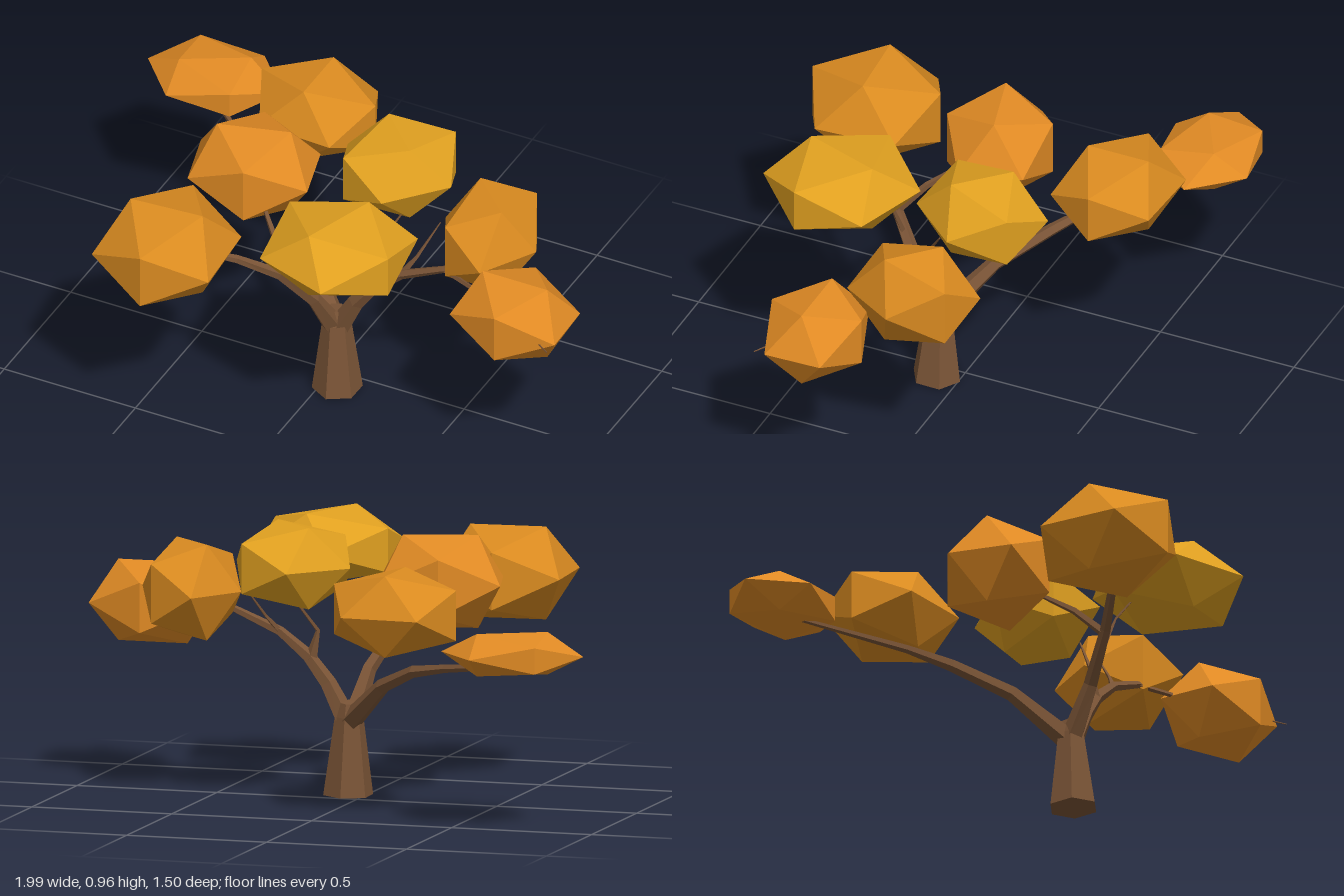
import * as THREE from 'three';

const bark = new THREE.MeshStandardMaterial({ color: 0x7a5436, flatShading: true });
const leafMaterial = (color) => new THREE.MeshStandardMaterial({ color, flatShading: true });

// Tapering limb: a ring of corners at each path point, joined by quads. Points are [x, y, z, radius].
function limb(name, points, sides = 5) {
  const path = points.map(([x, y, z]) => new THREE.Vector3(x, y, z));
  const up = new THREE.Vector3(0, 1, 0);
  const pos = [];
  const index = [];
  const last = path.length - 1;
  path.forEach((p, i) => {
    const dir = path[Math.min(i + 1, last)].clone().sub(path[Math.max(i - 1, 0)]).normalize();
    const turn = new THREE.Quaternion().setFromUnitVectors(up, dir);
    for (let s = 0; s < sides; s++) {
      const a = (s / sides) * Math.PI * 2;
      const v = new THREE.Vector3(Math.sin(a), 0, Math.cos(a));
      v.multiplyScalar(points[i][3]).applyQuaternion(turn).add(p);
      pos.push(v.x, v.y, v.z);
      if (i < last) {
        const a0 = i * sides + s;
        const b0 = i * sides + ((s + 1) % sides);
        index.push(a0, b0, b0 + sides, a0, b0 + sides, a0 + sides);
      }
    }
  });
  // End caps
  for (let s = 1; s < sides - 1; s++) {
    const e = last * sides;
    index.push(0, s + 1, s, e, e + s, e + s + 1);
  }
  const geo = new THREE.BufferGeometry();
  geo.setAttribute('position', new THREE.Float32BufferAttribute(pos, 3));
  geo.setIndex(index);
  geo.computeVertexNormals();
  const mesh = new THREE.Mesh(geo, bark);
  mesh.name = name;
  return mesh;
}

// Leaf clump: an icosahedron stretched along two ground directions q and p, with half height h.
function clump(name, color, [x, y, z], h, [qx, qz], [px, pz]) {
  const geo = new THREE.IcosahedronGeometry(1, 0);
  const k = 1 / 0.8507;
  geo.applyMatrix4(new THREE.Matrix4().makeBasis(
    new THREE.Vector3(qx * k, 0, qz * k),
    new THREE.Vector3(0, h * k, 0),
    new THREE.Vector3(px * k, 0, pz * k),
  ));
  geo.computeVertexNormals();
  const mesh = new THREE.Mesh(geo, leafMaterial(color));
  mesh.position.set(x, y, z);
  mesh.name = name;
  return mesh;
}

export function createModel() {
  const tree = new THREE.Group();
  tree.name = 'tree';

  // Trunk
  tree.add(limb('trunk', [[0.057, 0, 0.08, 0.087], [0.052, 0.27, 0.075, 0.05], [0.05, 0.32, 0.07, 0.035]], 6));

  // Main branches
  tree.add(
    limb('backLeftBranch', [[0.05, 0.25, 0.07, 0.04], [-0.11, 0.4, -0.06, 0.027], [-0.27, 0.48, -0.2, 0.022],
      [-0.41, 0.51, -0.29, 0.015], [-0.72, 0.565, -0.53, 0.008]]),
    limb('frontBranch', [[0.045, 0.25, 0.08, 0.04], [0.015, 0.42, 0.18, 0.026], [-0.06, 0.57, 0.29, 0.02],
      [-0.17, 0.66, 0.39, 0.015], [-0.35, 0.71, 0.48, 0.008]]),
    limb('rightBranch', [[0.06, 0.25, 0.075, 0.04], [0.13, 0.38, 0.08, 0.03], [0.2, 0.47, 0.08, 0.024],
      [0.3, 0.55, 0.08, 0.018], [0.46, 0.62, 0.075, 0.013], [0.62, 0.65, 0.09, 0.008]]),
  );

  // Thin twigs reaching into the clumps
  const twigs = [
    [[0.19, 0.46, 0.08, 0.022], [0.165, 0.56, 0.08, 0.008], [0.25, 0.72, -0.02, 0.003]],
    [[0.3, 0.55, 0.08, 0.012], [0.34, 0.61, 0.04, 0.006], [0.39, 0.72, -0.04, 0.002]],
    [[-0.02, 0.5, 0.24, 0.012], [0.03, 0.65, 0.27, 0.005], [0.1, 0.77, 0.33, 0.003]],
    [[-0.05, 0.56, 0.28, 0.016], [-0.12, 0.64, 0.2, 0.012], [-0.24, 0.71, 0.08, 0.006]],
    [[0.46, 0.62, 0.075, 0.01], [0.75, 0.62, 0.19, 0.006], [0.985, 0.61, 0.335, 0.002]],
  ];
  twigs.forEach((points, i) => tree.add(limb(`twig${i + 1}`, points, 4)));

  // Foliage
  const orange = 0xe08a24;
  const amber = 0xd98a20;
  const yellow = 0xe0a020;
  tree.add(
    clump('farLeftClump', orange, [-0.742, 0.618, -0.578], 0.073, [0.174, -0.096], [0.123, 0.134]),
    clump('backLeftClump', amber, [-0.28, 0.72, -0.444], 0.14, [0, 0.184], [-0.222, -0.011]),
    clump('leftClump', orange, [-0.297, 0.762, 0.008], 0.16, [0.2, -0.056], [0.048, 0.176]),
    clump('frontLeftClump', amber, [-0.377, 0.725, 0.508], 0.16, [0.214, -0.016], [0.016, 0.233]),
    clump('frontClump', yellow, [0.208, 0.812, 0.366], 0.123, [-0.075, 0.219], [-0.225, -0.075]),
    clump('backClump', yellow, [0.179, 0.82, -0.147], 0.14, [0.13, 0.13], [-0.136, 0.155]),
    clump('rightClump', amber, [0.567, 0.707, -0.07], 0.165, [0.125, 0.12], [-0.094, 0.16]),
    clump('farRightClump', orange, [0.79, 0.615, 0.19], 0.14, [0.2, 0], [0.005, 0.166]),
  );
  return tree;
}
